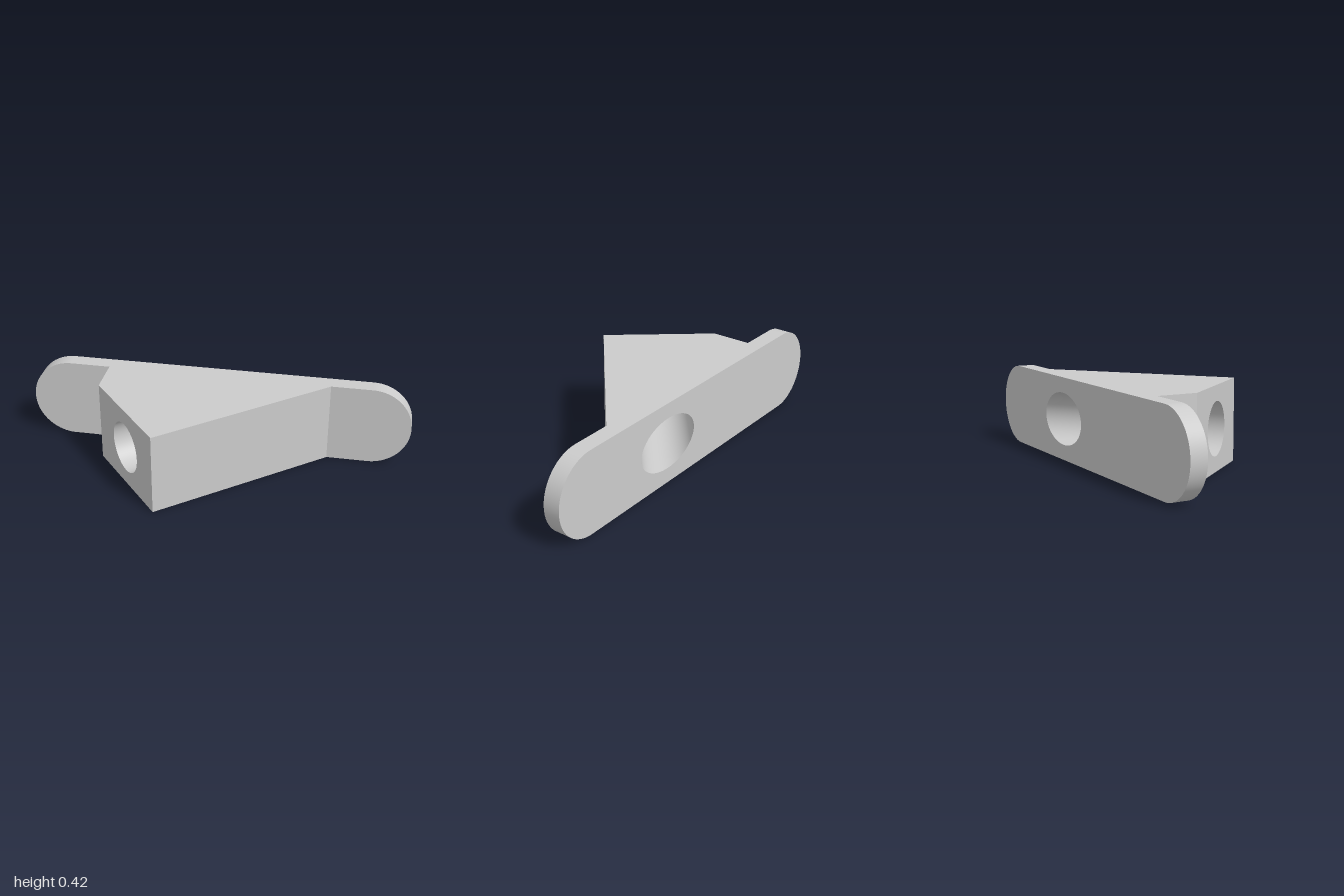
import * as THREE from 'three';

const H = 0.422, R = H / 2, ARC_X = 1 - R;   // height, end radius, centre of end arcs
const BACK = -0.371, FRONT = -0.286;         // z of the plate's two faces
const LEFT = [-0.58, FRONT], HEEL = [-0.58, -0.08], TIP = [-0.205, 0.37], RIGHT = [0.578, FRONT];
const BORE_R = 0.133;

export function createModel() {
  const group = new THREE.Group();
  const material = new THREE.MeshStandardMaterial({ color: 0xcccccc });
  const add = (name, geometry, mat = material) => {
    const mesh = new THREE.Mesh(geometry, mat);
    mesh.name = name;
    group.add(mesh);
  };

  // Frame of an upright face running from a to b (x, z), outward normal on its right
  const frame = (a, b) => {
    const along = new THREE.Vector3(b[0] - a[0], 0, b[1] - a[1]).normalize();
    const up = new THREE.Vector3(0, 1, 0);
    const out = along.clone().cross(up);
    return new THREE.Matrix4().makeBasis(along, up, out).setPosition(a[0], 0, a[1]);
  };
  const face = (shape, matrix) => new THREE.ShapeGeometry(shape, 32).applyMatrix4(matrix);
  const polygon = (points) => new THREE.Shape(points.map(([x, y]) => new THREE.Vector2(x, y)));
  const rectangle = (w) => polygon([[0, 0], [w, 0], [w, H], [0, H]]);
  const span = (a, b) => Math.hypot(b[0] - a[0], b[1] - a[1]);
  const hole = (x, rx) => new THREE.Path().absellipse(x, R, rx, BORE_R, 0, Math.PI * 2);

  // Bore axis: square to the face between heel and tip, leaving through the back
  const boreFrame = frame(HEEL, TIP);
  const axis = new THREE.Vector3().setFromMatrixColumn(boreFrame, 2);
  const faceWidth = span(HEEL, TIP);
  const start = new THREE.Vector3(faceWidth / 2, R, 0).applyMatrix4(boreFrame);
  const exitX = start.x + axis.x * (BACK - start.z) / axis.z;

  // Back of the plate with the slanted bore opening
  const stadium = new THREE.Shape();
  stadium.absarc(ARC_X, R, R, -Math.PI / 2, Math.PI / 2);
  stadium.absarc(-ARC_X, R, R, Math.PI / 2, Math.PI * 1.5);
  stadium.holes.push(hole(-exitX, BORE_R / axis.z));
  add('plateBack', face(stadium, frame([0, BACK], [-1, BACK])));

  // Rounded plate ends: front pads and rims
  for (const [side, edge] of [[-1, LEFT[0]], [1, RIGHT[0]]]) {
    const pad = new THREE.Shape();
    pad.moveTo(edge, 0);
    pad.lineTo(side * ARC_X, 0);
    pad.absarc(side * ARC_X, R, R, -Math.PI / 2, Math.PI / 2, side < 0);
    pad.lineTo(edge, H);
    add('platePad', face(pad, frame([0, FRONT], [1, FRONT])));

    const rim = new THREE.CylinderGeometry(R, R, FRONT - BACK, 32, 1, true, side > 0 ? 0 : Math.PI, Math.PI);
    rim.rotateX(Math.PI / 2).translate(side * ARC_X, R, (FRONT + BACK) / 2);
    add('plateRim', rim);
  }

  // Flat top and bottom across plate and wedge
  const plan = [[-ARC_X, BACK], [ARC_X, BACK], [ARC_X, FRONT], RIGHT, TIP, HEEL, LEFT, [-ARC_X, FRONT]];
  add('top', new THREE.ShapeGeometry(polygon(plan.map(([x, z]) => [x, -z]))).rotateX(-Math.PI / 2).translate(0, H, 0));
  add('bottom', new THREE.ShapeGeometry(polygon(plan)).rotateX(Math.PI / 2));

  // Wedge walls
  add('wedgeSide', face(rectangle(span(LEFT, HEEL)), frame(LEFT, HEEL)));
  add('wedgeSlope', face(rectangle(span(TIP, RIGHT)), frame(TIP, RIGHT)));
  const boredWall = rectangle(faceWidth);
  boredWall.holes.push(hole(faceWidth / 2, BORE_R));
  add('boredFace', face(boredWall, boreFrame));

  // Bore lining, its far end cut flush with the plate back
  const bore = new THREE.CylinderGeometry(BORE_R, BORE_R, 1, 64, 1, true);
  bore.rotateX(Math.PI / 2).translate(faceWidth / 2, R, -0.5).applyMatrix4(boreFrame);
  const pos = bore.attributes.position, p = new THREE.Vector3();
  for (let i = 0; i < pos.count; i++) {
    p.fromBufferAttribute(pos, i);
    if (p.clone().sub(start).dot(axis) > -0.5) continue;
    p.addScaledVector(axis, (BACK - p.z) / axis.z);
    pos.setXYZ(i, p.x, p.y, p.z);
  }
  const lining = material.clone();
  lining.side = THREE.DoubleSide;
  add('bore', bore, lining);

  return group;
}
